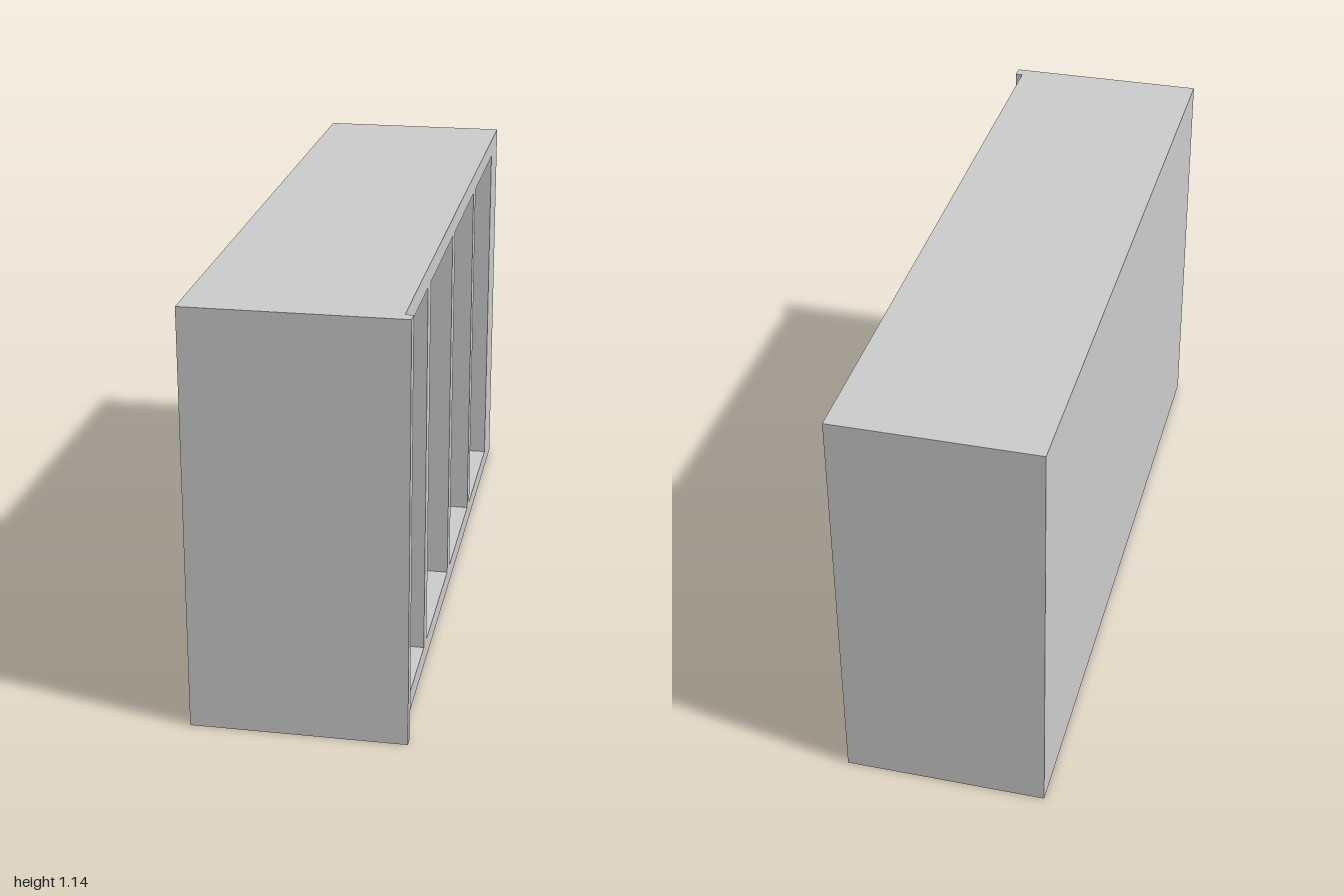
import * as THREE from 'three';

const material = new THREE.MeshStandardMaterial({ color: 0xcccccc, flatShading: true });

function box(name, [x0, x1], [y0, y1], [z0, z1]) {
  const mesh = new THREE.Mesh(new THREE.BoxGeometry(x1 - x0, y1 - y0, z1 - z0), material);
  mesh.position.set((x0 + x1) / 2, (y0 + y1) / 2, (z0 + z1) / 2);
  mesh.name = name;
  return mesh;
}

// Rectangle in the z-y plane; the shape's first axis is -z.
function rect(target, [z0, z1], [y0, y1]) {
  target.moveTo(-z1, y0).lineTo(-z0, y0).lineTo(-z0, y1).lineTo(-z1, y1).closePath();
  return target;
}

export function createModel() {
  const group = new THREE.Group();
  group.name = 'openCabinet';

  const height = 1.143, side = 0.286, openX = 0.265, backX = -0.235;
  const panelZ = 0.965;

  // Carcass: four compartments open towards +x
  const outline = rect(new THREE.Shape(), [-1, panelZ], [0, height]);
  const pitch = 0.4755, width = 0.425;
  for (let i = 0; i < 4; i++) {
    const z0 = -0.845 + i * pitch;
    const z1 = Math.min(z0 + width, panelZ - 0.003);
    outline.holes.push(rect(new THREE.Path(), [z0, z1], [0.056, 1.09]));
  }
  const frame = new THREE.ExtrudeGeometry(outline, { depth: openX - backX, bevelEnabled: false });
  frame.rotateY(Math.PI / 2).translate(backX, 0, 0);
  const carcass = new THREE.Mesh(frame, material);
  carcass.name = 'carcass';
  group.add(carcass);

  // Panel closing the compartments at -x
  group.add(box('backPanel', [-side, backX], [0, height], [-1, panelZ]));

  // End panel, slightly proud of the open side
  group.add(box('endPanel', [-side, side], [0, height], [panelZ, 1]));

  return group;
}
